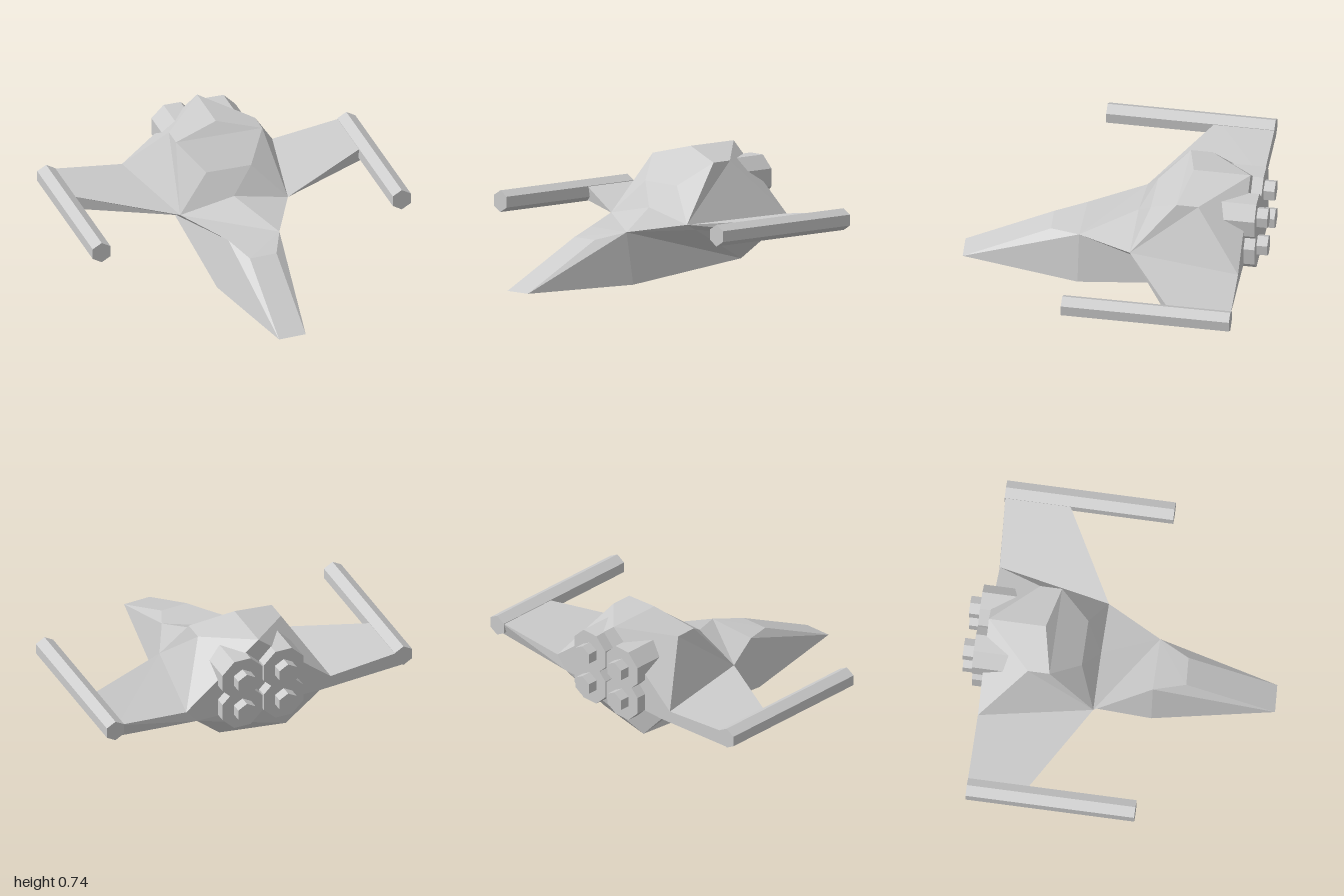
import * as THREE from 'three';

const hull = new THREE.MeshStandardMaterial({ color: 0xcccccc, flatShading: true });
hull.name = 'light grey hull';

// Mesh from flat polygons, each fanned into triangles
function facets(name, polys) {
  const pos = [];
  for (const p of polys)
    for (let i = 1; i < p.length - 1; i++) pos.push(...p[0], ...p[i], ...p[i + 1]);
  const g = new THREE.BufferGeometry();
  g.setAttribute('position', new THREE.Float32BufferAttribute(pos, 3));
  g.computeVertexNormals();
  const m = new THREE.Mesh(g, hull);
  m.name = name;
  return m;
}

// Prism lying along z, from z0 to z1
function prism(name, sides, radius, x, y, z0, z1, turn = 0) {
  const g = new THREE.CylinderGeometry(radius, radius, z1 - z0, sides);
  g.rotateY(turn).rotateX(Math.PI / 2);
  const m = new THREE.Mesh(g, hull);
  m.name = name;
  m.position.set(x, y, (z0 + z1) / 2);
  return m;
}

// Corner points of one side (s = 1 left, -1 right), slightly uneven between sides
function corners(s) {
  const L = s > 0;
  return {
    noseLow: [L ? 0.09 : -0.08, 0, L ? 0.91 : 0.92],
    noseTop: [L ? 0.09 : -0.08, 0.27, L ? 0.38 : 0.39],
    shoulder: [L ? 0.17 : -0.15, 0.307, 0.2],
    belly: [L ? 0.23 : -0.22, 0, 0.2],
    root: [s * 0.337, 0.337, -0.13],
    rootLow: [s * 0.335, 0.3, -0.2],
    rearLow: [s * 0.2, 0.068, L ? -0.68 : -0.75],
    rearMid: [s * 0.4, 0.275, -0.8],
    rearTop: [s * 0.47, 0.355, -0.8],
    mid: [s * 0.14, 0.54, -0.225],
    brow: [s * 0.27, 0.675, -0.4],
    browBack: [s * 0.27, 0.675, -0.53],
    tipFront: [s * 0.93, 0.404, -0.46],
    tipBack: [s * 0.93, 0.404, L ? -0.828 : -0.8],
    tipFrontLow: [s * 0.93, 0.31, -0.475],
    tipBackLow: [s * 0.93, 0.31, -0.8],
  };
}

export function createModel() {
  const group = new THREE.Group();
  const l = corners(1), r = corners(-1);
  const sill = [0, 0.405, -0.13], peak = [0, 0.74, -0.46], tail = [0, 0.74, -0.8];

  // Faces on the centre line
  const lower = [
    [r.noseLow, l.noseLow, l.noseTop, r.noseTop],
    [r.noseTop, l.noseTop, l.shoulder, r.shoulder],
    [r.shoulder, l.shoulder, r.root],
    [r.root, l.shoulder, sill],
    [l.shoulder, l.root, sill],
    [l.noseLow, r.noseLow, r.belly, l.belly],
    [l.belly, r.belly, r.rearLow, l.rearLow],
    [l.rearMid, l.rearLow, r.rearLow, r.rearMid],
    [tail, l.rearTop, l.rearMid, r.rearMid, r.rearTop],
  ];
  const upper = [
    [sill, l.mid, r.mid],
    [r.mid, l.mid, l.brow, r.brow],
    [r.brow, l.brow, peak],
  ];

  for (const s of [1, -1]) {
    const p = s > 0 ? l : r;
    const side = (polys) => (s > 0 ? polys : polys.map((q) => [...q].reverse()));
    const label = s > 0 ? 'left' : 'right';

    // Flanks of the hull and cabin
    lower.push(...side([
      [p.noseLow, p.belly, p.shoulder],
      [p.noseLow, p.shoulder, p.noseTop],
      [p.belly, p.rearLow, p.shoulder],
      [p.shoulder, p.rearLow, p.rootLow],
      [p.rearLow, p.rearMid, p.rootLow],
      [p.shoulder, p.rootLow, p.root],
    ]));
    upper.push(...side([
      [p.root, p.rearTop, p.browBack],
      [p.root, p.browBack, p.brow],
      [p.root, p.brow, p.mid],
      [p.root, p.mid, sill],
      [peak, p.brow, p.browBack, tail],
      [p.browBack, p.rearTop, tail],
    ]));

    // Wing
    group.add(facets(label + 'Wing', side([
      [p.root, p.tipFront, p.tipBack, p.rearTop],
      [p.rootLow, p.rearMid, p.tipBackLow, p.tipFrontLow],
      [p.root, p.rootLow, p.tipFrontLow, p.tipFront],
      [p.tipBack, p.tipBackLow, p.rearMid, p.rearTop],
    ])));

    // Wing tip rail
    const back = s > 0 ? -0.83 : -0.8;
    group.add(prism(label + 'Rail', 6, 0.065, s * 0.944, 0.37, back, back + 1.007));

    // Stacked engines with nozzles
    for (const [y, level] of [[0.54, 'Upper'], [0.335, 'Lower']]) {
      group.add(prism(label + level + 'Engine', 8, 0.14, s * 0.134, y, -0.865, -0.65, Math.PI / 8));
      group.add(prism(label + level + 'Nozzle', 6, 0.065, s * 0.134, y, -0.93, -0.8));
    }
  }

  group.add(facets('hull', lower), facets('cabin', upper));
  return group;
}
